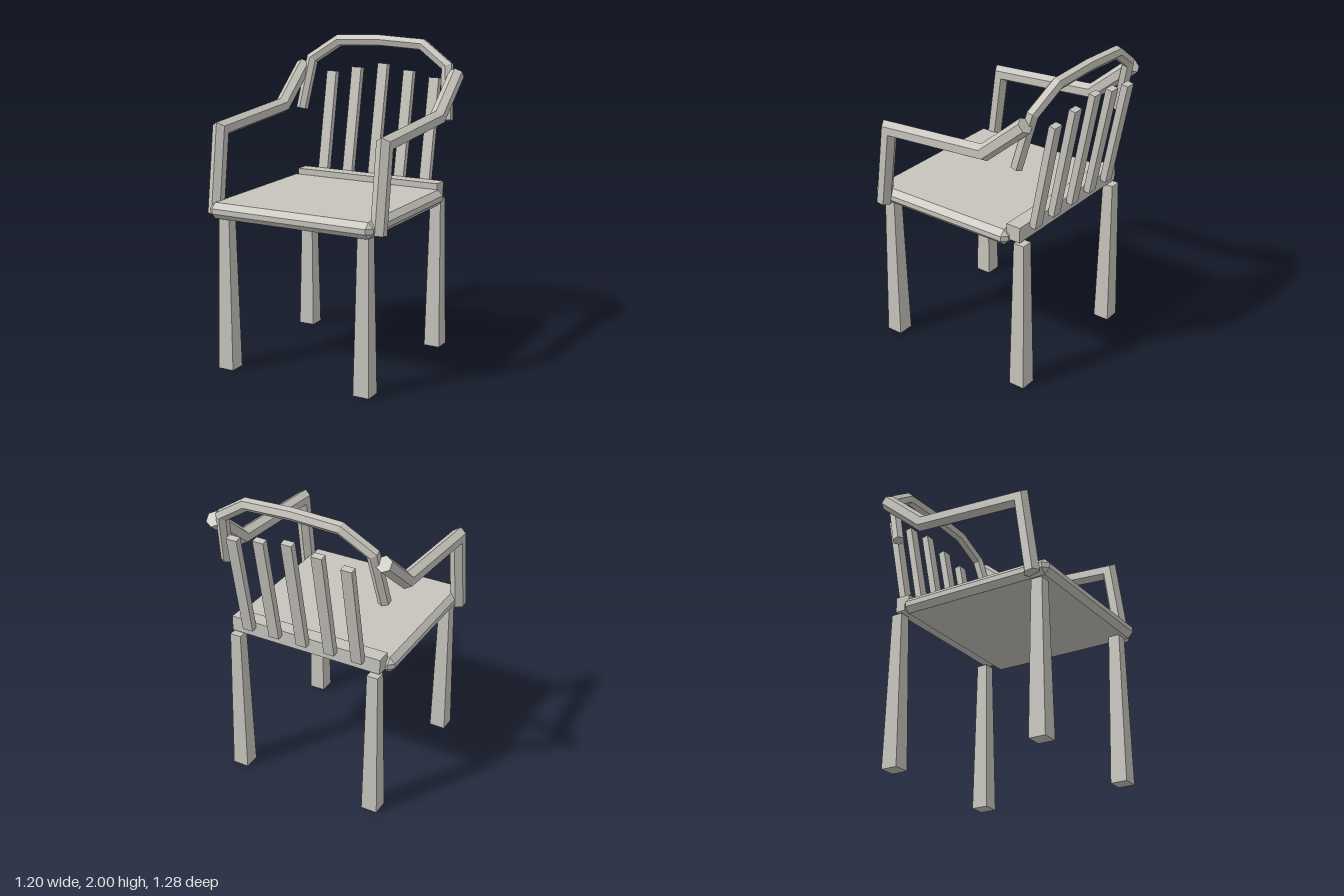
import * as THREE from 'three';
import { ConvexGeometry } from 'three/addons/geometries/ConvexGeometry.js';

const paleWood = new THREE.MeshStandardMaterial({ color: 0xc6c4bc });
paleWood.name = 'paleWood';

const V = (x, y, z) => new THREE.Vector3(x, y, z);

function add(group, name, geometry) {
  const mesh = new THREE.Mesh(geometry, paleWood);
  mesh.name = name;
  group.add(mesh);
  return mesh;
}

// Faceted normals, one per face
function faceted(geometry) {
  const g = geometry.index ? geometry.toNonIndexed() : geometry;
  g.computeVertexNormals();
  return g;
}

// Hexagonal section; the ridges lie along the first or the second axis
function hexSection(radius, ridgeOnFirst) {
  return Array.from({ length: 6 }, (_, i) => {
    const a = (i / 6) * Math.PI * 2 + (ridgeOnFirst ? 0 : Math.PI / 2);
    return [Math.cos(a) * radius, Math.sin(a) * radius];
  });
}

// Sweep a section along a planar path with mitred bends and flat ends
function sweep(path, normal, section) {
  const dirs = path.slice(1).map((p, i) => p.clone().sub(path[i]).normalize());
  const rings = path.map((p, i) => {
    const before = dirs[Math.max(i - 1, 0)];
    const after = dirs[Math.min(i, dirs.length - 1)];
    const tangent = before.clone().add(after).normalize();
    const side = tangent.clone().cross(normal).divideScalar(tangent.dot(after));
    return section.map(([a, b]) => p.clone().addScaledVector(normal, a).addScaledVector(side, b));
  });
  const pos = [];
  const tri = (...pts) => pts.forEach((p) => pos.push(p.x, p.y, p.z));
  const n = section.length;
  for (let i = 0; i < rings.length - 1; i++) {
    for (let j = 0; j < n; j++) {
      const k = (j + 1) % n;
      tri(rings[i][j], rings[i][k], rings[i + 1][k]);
      tri(rings[i][j], rings[i + 1][k], rings[i + 1][j]);
    }
  }
  const first = rings[0], last = rings[rings.length - 1];
  for (let j = 1; j < n - 1; j++) {
    tri(first[0], first[j + 1], first[j]);
    tri(last[0], last[j], last[j + 1]);
  }
  const g = new THREE.BufferGeometry();
  g.setAttribute('position', new THREE.Float32BufferAttribute(pos, 3));
  return faceted(g);
}

// Box with every edge and corner chamfered
function chamferedBox(w, h, d, b) {
  const pts = [];
  for (const x of [-w / 2, w / 2]) for (const y of [-h / 2, h / 2]) for (const z of [-d / 2, d / 2]) {
    const ix = x - Math.sign(x) * b, iy = y - Math.sign(y) * b, iz = z - Math.sign(z) * b;
    pts.push(V(x, iy, iz), V(ix, y, iz), V(ix, iy, z));
  }
  return new ConvexGeometry(pts);
}

export function createModel() {
  const chair = new THREE.Group();
  chair.name = 'armchair';

  // Seat and the rail behind it
  add(chair, 'seat', chamferedBox(1.11, 0.1, 1.03, 0.034)).position.set(0, 1.016, 0.127);
  add(chair, 'backRail', new THREE.BoxGeometry(1.02, 0.098, 0.096)).position.set(0, 1.054, -0.412);

  // Square legs, wider at the foot
  for (const [name, z] of [['frontLeg', 0.547], ['backLeg', -0.452]]) {
    for (const side of [-1, 1]) {
      const g = new THREE.CylinderGeometry(0.036 * Math.SQRT2, 0.053 * Math.SQRT2, 0.99, 4).rotateY(Math.PI / 4);
      add(chair, name, faceted(g)).position.set(side * 0.475, 0.495, z);
    }
  }

  // Leaning back slats, tallest in the middle
  const lean = Math.atan2(0.14, 0.745);
  for (const [x, top] of [[-0.375, 1.741], [-0.19, 1.776], [0, 1.81], [0.19, 1.776], [0.375, 1.741]]) {
    const length = (top - 1.065) / Math.cos(lean);
    const g = new THREE.BoxGeometry(0.07, length, 0.044).translate(0, length / 2, 0);
    const slat = add(chair, 'backSlat', g);
    slat.position.set(x, 1.065, -0.475);
    slat.rotation.x = -lean;
  }

  // Arms: upright post, armrest and raised rear end
  for (const side of [-1, 1]) {
    const x = side * 0.557;
    const path = [V(x, 0.98, 0.547), V(x, 1.493, 0.477), V(x, 1.543, -0.243), V(x, 1.785, -0.527)];
    add(chair, 'arm', sweep(path, V(1, 0, 0), hexSection(0.05, false)));
  }

  // Bowed top rail in a plane that leans back
  const slope = -0.24;
  const bow = [[-0.528, 1.498], [-0.492, 1.828], [-0.305, 1.953], [0, 1.966],
    [0.305, 1.953], [0.492, 1.828], [0.528, 1.498]]
    .map(([x, y]) => V(x, y, -0.45 + slope * (y - 1.498)));
  add(chair, 'topBow', sweep(bow, V(0, -slope, 1).normalize(), hexSection(0.039, true)));

  return chair;
}
